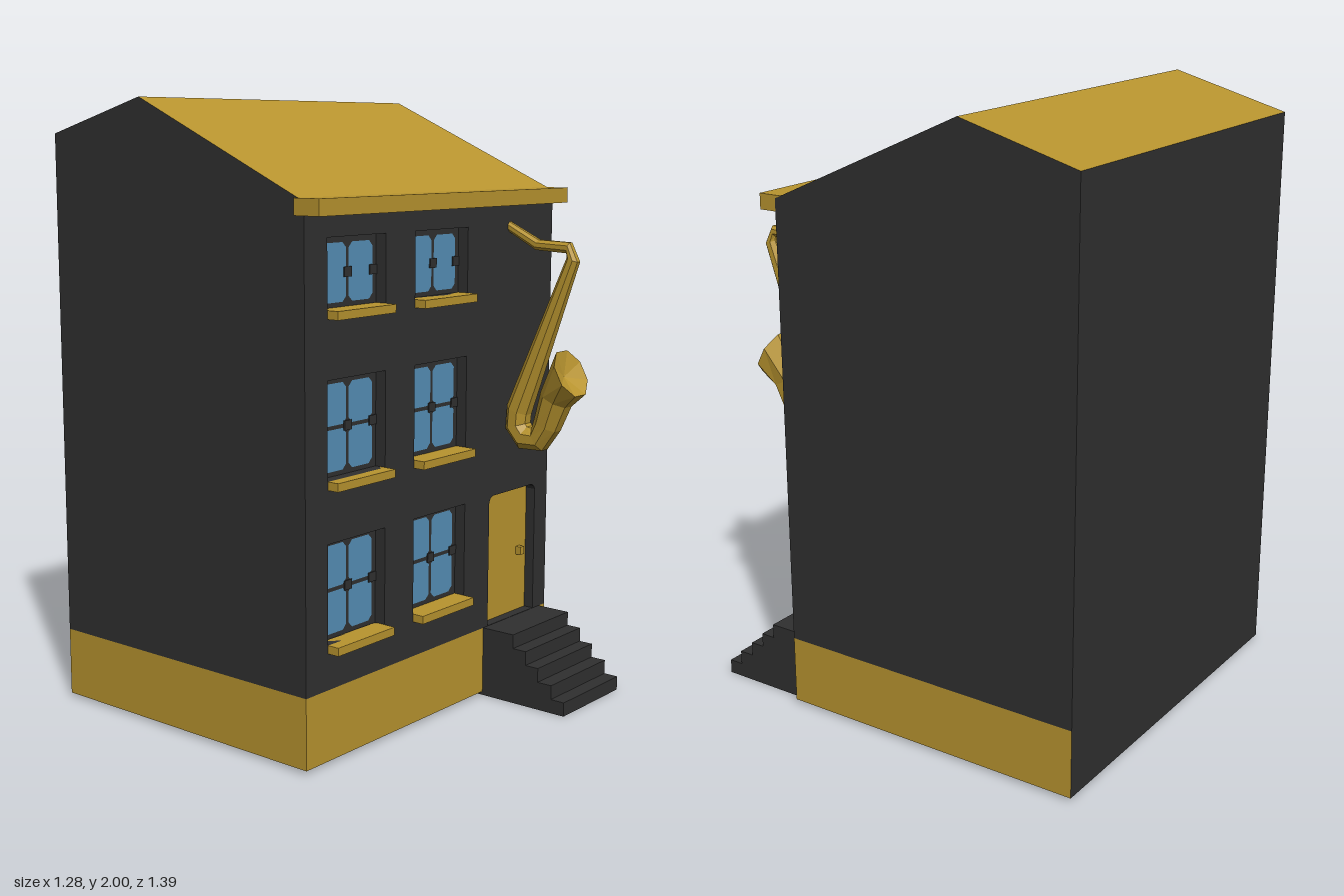
import * as THREE from 'three';

const paint = (name, color) => {
  const m = new THREE.MeshStandardMaterial({ color, side: THREE.DoubleSide, flatShading: true });
  m.name = name;
  return m;
};

export function createModel() {
  const gold = paint('gold', 0xb8942f);
  const dark = paint('charcoal', 0x303030);
  const blue = paint('window blue', 0x558fb6);
  const house = new THREE.Group();
  house.name = 'townHouse';

  const add = (name, geometry, material, parent = house) => {
    const mesh = new THREE.Mesh(geometry, material);
    mesh.name = name;
    parent.add(mesh);
    return mesh;
  };
  const box = (name, x0, x1, y0, y1, z0, z1, material, parent) => add(name,
    new THREE.BoxGeometry(x1 - x0, y1 - y0, z1 - z0)
      .translate((x0 + x1) / 2, (y0 + y1) / 2, (z0 + z1) / 2), material, parent);

  // Surface stretched between rows of points
  const sheet = (rows) => {
    const pos = [];
    for (let i = 0; i + 1 < rows.length; i++) {
      const a = rows[i], b = rows[i + 1];
      for (let j = 0; j + 1 < a.length; j++) {
        pos.push(...a[j], ...a[j + 1], ...b[j + 1], ...a[j], ...b[j + 1], ...b[j]);
      }
    }
    const g = new THREE.BufferGeometry();
    g.setAttribute('position', new THREE.Float32BufferAttribute(pos, 3));
    g.computeVertexNormals();
    return g;
  };
  // Strip along x following a [z, y] profile
  const across = (profile, x0, x1) =>
    sheet([x0, x1].map((x) => profile.map(([z, y]) => [x, y, z])));
  // Flat side panel from a [z, y] outline
  const side = (outline, x) => new THREE.ShapeGeometry(
    new THREE.Shape(outline.map(([z, y]) => new THREE.Vector2(-z, y))))
    .rotateY(Math.PI / 2).translate(x, 0, 0);
  // Rectangle with cut corners
  const panel = (x0, x1, y0, y1, c = 0) => [
    [x0 + c, y0], [x1 - c, y0], [x1, y0 + c], [x1, y1 - c],
    [x1 - c, y1], [x0 + c, y1], [x0, y1 - c], [x0, y0 + c],
  ].filter((p, i, all) => c > 0 || i % 2 === 0).map(([x, y]) => new THREE.Vector2(x, y));

  const W = 0.64, front = 0.37, back = -0.695, inner = 0.33;
  const bottom = 0.015, baseTop = 0.24, eave = 1.7;

  // Shell: open underneath, back wall without a plinth
  const roofLine = [[front, eave], [-0.3, 2], [back, 1.89]];
  add('roof', across(roofLine, -W, W), gold);
  add('backWall', across([[back, bottom], [back, 1.89]], -W, W), dark);
  for (const s of [1, -1]) {
    add(s > 0 ? 'leftWall' : 'rightWall',
      side([[front, baseTop], ...roofLine, [back, baseTop]], s * W), dark);
  }
  const plinth = [[-W, back], [-W, front], [W, front], [W, back]];
  add('plinth', sheet([bottom, baseTop].map((y) => plinth.map(([x, z]) => [x, y, z]))), gold);
  box('cornice', -0.645, W, 1.66, 1.71, 0.335, 0.43, gold);

  // Front wall with openings
  const columns = [[-0.54, -0.27], [-0.125, 0.15]];
  const floors = [[0.38, 0.69, 2], [0.88, 1.18, 2], [1.385, 1.595, 1]];
  const doorOutline = [
    [0.29, 0.241], [0.565, 0.241], [0.565, 0.67], [0.558, 0.683],
    [0.545, 0.69], [0.31, 0.69], [0.297, 0.683], [0.29, 0.67],
  ].map(([x, y]) => new THREE.Vector2(x, y));
  const wall = new THREE.Shape(panel(-W, W, baseTop, eave));
  wall.holes.push(new THREE.Path(doorOutline));
  for (const [x0, x1] of columns) {
    for (const [y0, y1] of floors) wall.holes.push(new THREE.Path(panel(x0, x1, y0, y1)));
  }
  add('frontWall', new THREE.ExtrudeGeometry(wall, { depth: front - inner, bevelEnabled: false })
    .translate(0, 0, inner), dark);

  // Windows: frame, panes, centre ornament and sill
  for (const [x0, x1] of columns) {
    for (const [y0, y1, rows] of floors) {
      const win = new THREE.Group();
      win.name = 'window';
      house.add(win);
      const mx = 0.018, gap = 0.012;
      const bx = x0 + mx, by = y0 + 0.014;
      const pw = (x1 - x0 - 2 * mx - gap) / 2;
      const ph = (y1 - by - 0.02 - gap * (rows - 1)) / rows;
      const frame = new THREE.Shape(panel(x0, x1, y0, y1));
      const panes = [];
      for (let i = 0; i < 2; i++) {
        for (let j = 0; j < rows; j++) {
          const px = bx + i * (pw + gap), py = by + j * (ph + gap);
          const outline = panel(px, px + pw, py, py + ph, 0.016);
          frame.holes.push(new THREE.Path(outline));
          panes.push(new THREE.Shape(outline));
        }
      }
      add('windowFrame', new THREE.ShapeGeometry(frame).translate(0, 0, inner + 0.002), dark, win);
      add('glass', new THREE.ShapeGeometry(panes).translate(0, 0, inner + 0.002), blue, win);
      const cy = by + (rows * ph + (rows - 1) * gap) / 2;
      for (const cx of [bx, (x0 + x1) / 2, x1 - mx]) {
        box('frameOrnament', cx - 0.017, cx + 0.017, cy - 0.015, cy + 0.015,
          inner - 0.002, inner + 0.006, dark, win);
      }
      box('sill', x0, x1, y0 - 0.026, y0, inner, 0.41, gold, win);
    }
  }

  // Door
  add('door', new THREE.ShapeGeometry(new THREE.Shape(doorOutline)).translate(0, 0, inner + 0.005), gold);
  box('doorHandle', 0.505, 0.527, 0.442, 0.47, inner + 0.005, inner + 0.025, gold);

  // Front steps, hollow underneath
  const stepLine = [[0.695, 0.003]];
  const fronts = [0.695, 0.645, 0.592, 0.543, 0.492, 0.335];
  for (let i = 0; i < 5; i++) {
    const y = 0.05 + i * 0.0475;
    stepLine.push([fronts[i], y], [fronts[i + 1], y]);
  }
  add('steps', across(stepLine, 0.265, 0.605), dark);
  for (const x of [0.265, 0.605]) add('stepSide', side([...stepLine, [0.335, 0.003]], x), dark);

  // Saxophone sign: [z, y, radius, optional ring direction]
  const path = [
    [0.36, 1.592, 0.015], [0.48, 1.532, 0.018], [0.6, 1.527, 0.019], [0.616, 1.49, 0.022],
    [0.418, 0.98, 0.042], [0.414, 0.925, 0.042], [0.445, 0.889, 0.043], [0.5, 0.889, 0.043],
    [0.53, 0.94, 0.046], [0.562, 1.03, 0.054], [0.617, 1.12, 0.082, [0.88, 0.47]],
    [0.59, 1.106, 0],
  ];
  const rings = path.map(([z, y, r, dir], i) => {
    const p = path[Math.max(i - 1, 0)], n = path[Math.min(i + 1, path.length - 1)];
    const [tz, ty] = dir || [n[0] - p[0], n[1] - p[1]];
    const len = Math.hypot(tz, ty);
    return Array.from({ length: 9 }, (_, k) => {
      const a = (k + 0.5) * Math.PI / 4;
      const u = Math.cos(a) * r * 1.04, v = Math.sin(a) * r * 1.04;
      return [0.388 + u, y + v * tz / len, z - v * ty / len];
    });
  });
  add('saxophoneSign', sheet(rings), gold);

  return house;
}
